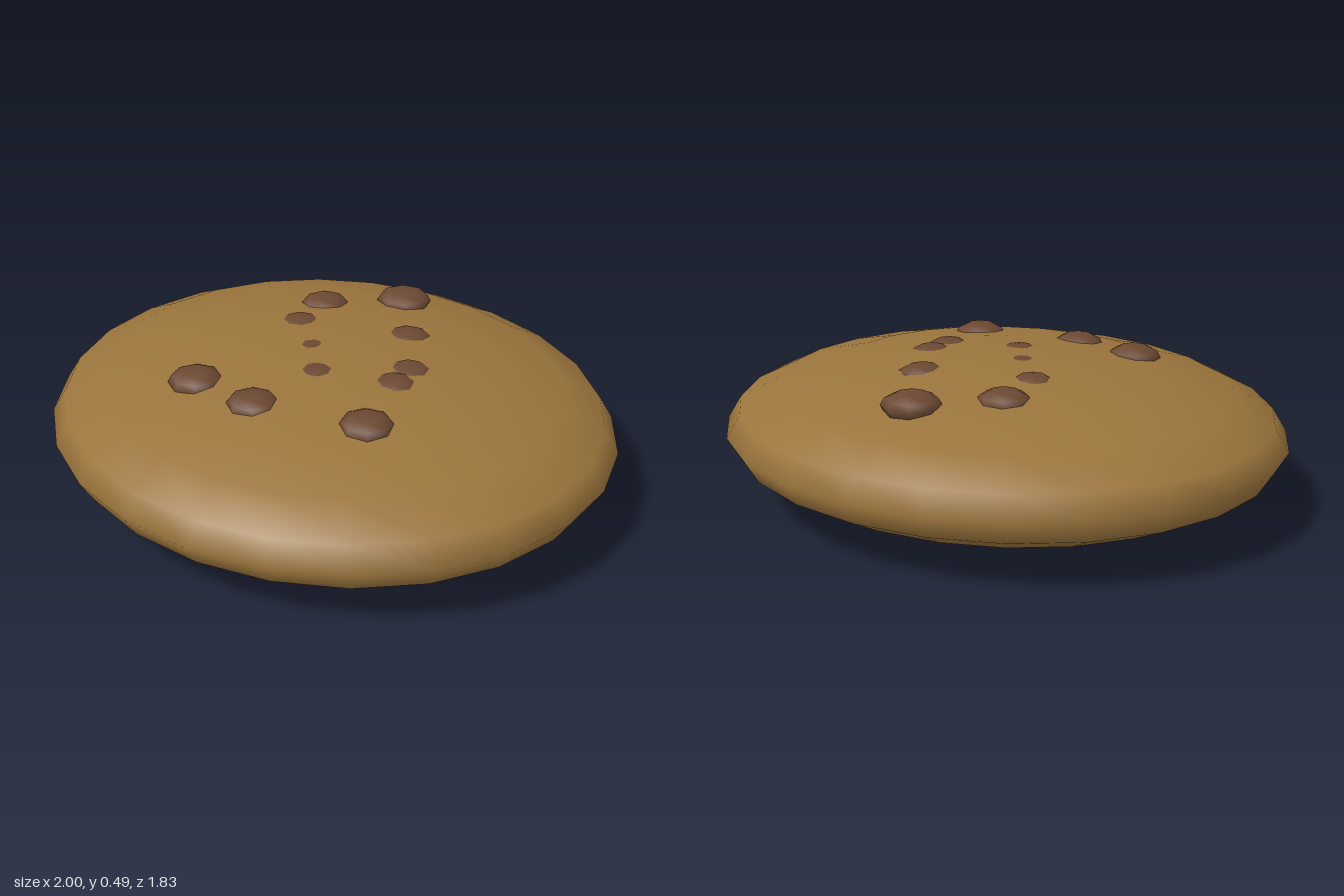
import * as THREE from 'three';

export function createModel() {
  const cookie = new THREE.Group();
  cookie.name = 'cookie';

  const dough = new THREE.MeshStandardMaterial({ color: 0x9a743c });
  dough.name = 'golden brown dough';
  const chocolate = new THREE.MeshStandardMaterial({ color: 0x6b4832 });
  chocolate.name = 'chocolate brown';

  // A flattened sphere
  function ellipsoid(name, material, segments, rings, radii, position) {
    const geometry = new THREE.SphereGeometry(1, segments, rings);
    geometry.scale(...radii);
    const mesh = new THREE.Mesh(geometry, material);
    mesh.name = name;
    mesh.position.set(...position);
    return mesh;
  }

  // Slightly oval dough body
  cookie.add(ellipsoid('doughBody', dough, 24, 10, [1, 0.246, 0.915], [0, 0.254, -0.003]));

  // Chips set at one height, so those near the middle sink deeper: x, z, radius
  const chips = [
    [-0.135, -0.52, 0.099],
    [-0.31, -0.29, 0.09],
    [0.09, -0.285, 0.09],
    [-0.25, -0.107, 0.09],
    [0.26, -0.1, 0.09],
    [0.285, 0, 0.09],
    [-0.07, 0.01, 0.095],
    [0.057, 0.123, 0.09],
    [0.385, 0.24, 0.092],
    [-0.22, 0.41, 0.093],
    [0.03, 0.39, 0.09],
  ];
  chips.forEach(([x, z, r], i) => {
    cookie.add(ellipsoid(`chocolateChip${i + 1}`, chocolate, 8, 6, [r, 0.046, r], [x, 0.455, z]));
  });

  return cookie;
}
